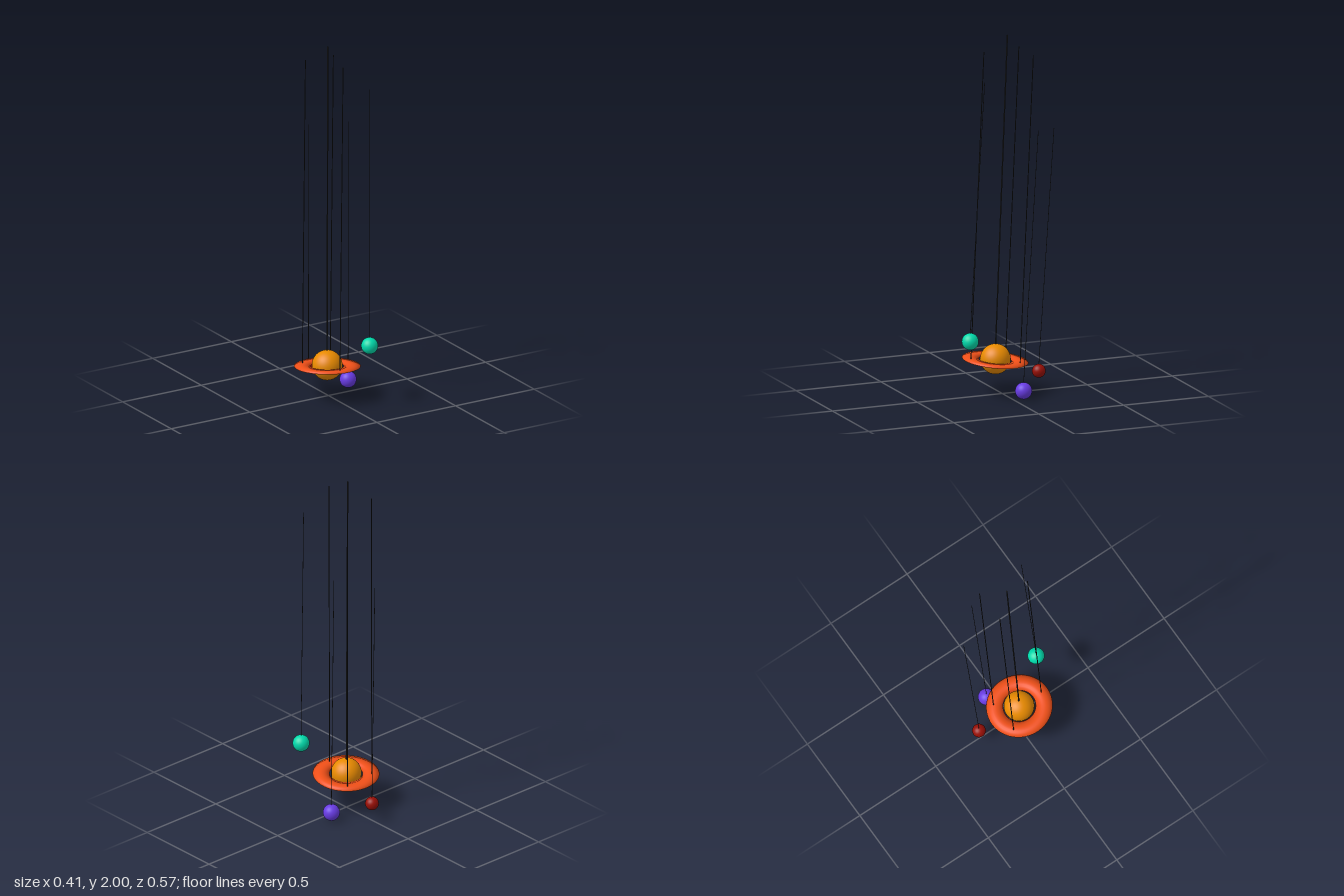
import * as THREE from 'three';

const UP = new THREE.Vector3(0, 1, 0);

function addMesh(parent, name, geometry, color) {
  const mesh = new THREE.Mesh(geometry, new THREE.MeshStandardMaterial({ color }));
  mesh.name = name;
  parent.add(mesh);
  return mesh;
}

function addBall(parent, name, radius, position, color) {
  addMesh(parent, name, new THREE.SphereGeometry(radius, 48, 32), color).position.set(...position);
}

// Thin cylinder stretched between two points
function addString(parent, name, from, to, radius) {
  const a = new THREE.Vector3(...from);
  const b = new THREE.Vector3(...to);
  const direction = b.clone().sub(a);
  const mesh = addMesh(parent, name, new THREE.CylinderGeometry(radius, radius, direction.length(), 10), 0x2c2c2c);
  mesh.position.copy(a).add(b).multiplyScalar(0.5);
  mesh.quaternion.setFromUnitVectors(UP, direction.normalize());
}

export function createModel() {
  const model = new THREE.Group();
  model.name = 'hangingPlanetMobile';

  // Central planet and its string
  addBall(model, 'planet', 0.083, [-0.026, 0.19, 0.029], 0xe88a00);
  addString(model, 'planetString', [-0.026, 0.265, 0.028], [0.012, 2, -0.025], 0.0037);

  // Tilted ring: a torus pressed flat that keeps its rounded shading
  const slopeX = -0.05, slopeZ = 0.08;
  const ringCentre = [-0.026, 0.185, 0.031];
  const ringGeometry = new THREE.TorusGeometry(0.135, 0.046, 24, 48).rotateX(Math.PI / 2);
  ringGeometry.attributes.position.applyMatrix4(new THREE.Matrix4().makeScale(1, 0.14, 1));
  const ring = addMesh(model, 'ring', ringGeometry, 0xee4f18);
  ring.position.set(...ringCentre);
  ring.quaternion.setFromUnitVectors(UP, new THREE.Vector3(-slopeX, 1, -slopeZ).normalize());

  // Three strings holding the ring: foot x, foot z, top point
  const ringStrings = [
    [-0.121, -0.072, [-0.068, 1.907, -0.127]],
    [0.061, -0.079, [0.114, 1.897, -0.134]],
    [-0.032, 0.171, [0.021, 1.92, 0.117]],
  ];
  for (const [x, z, top] of ringStrings) {
    const y = ringCentre[1] + slopeX * (x - ringCentre[0]) + slopeZ * (z - ringCentre[2]);
    addString(model, 'ringString', [x, y, z], top, 0.0025);
  }

  // Moons, each on its own string
  const moons = [
    ['tealMoon', 0.046, [0.115, 0.339, 0.238], [0.157, 1.786, 0.171], 0x00d8aa],
    ['purpleMoon', 0.046, [0.16, 0.046, -0.057], [0.203, 1.5, -0.125], 0x683be2],
    ['redMoon', 0.037, [0.005, 0.107, -0.213], [0.048, 1.463, -0.284], 0x980f06],
  ];
  for (const [name, radius, position, top, color] of moons) {
    addBall(model, name, radius, position, color);
    const [x, y, z] = position;
    addString(model, name + 'String', [x, y + radius * 0.9, z], top, 0.0016);
  }
  return model;
}
